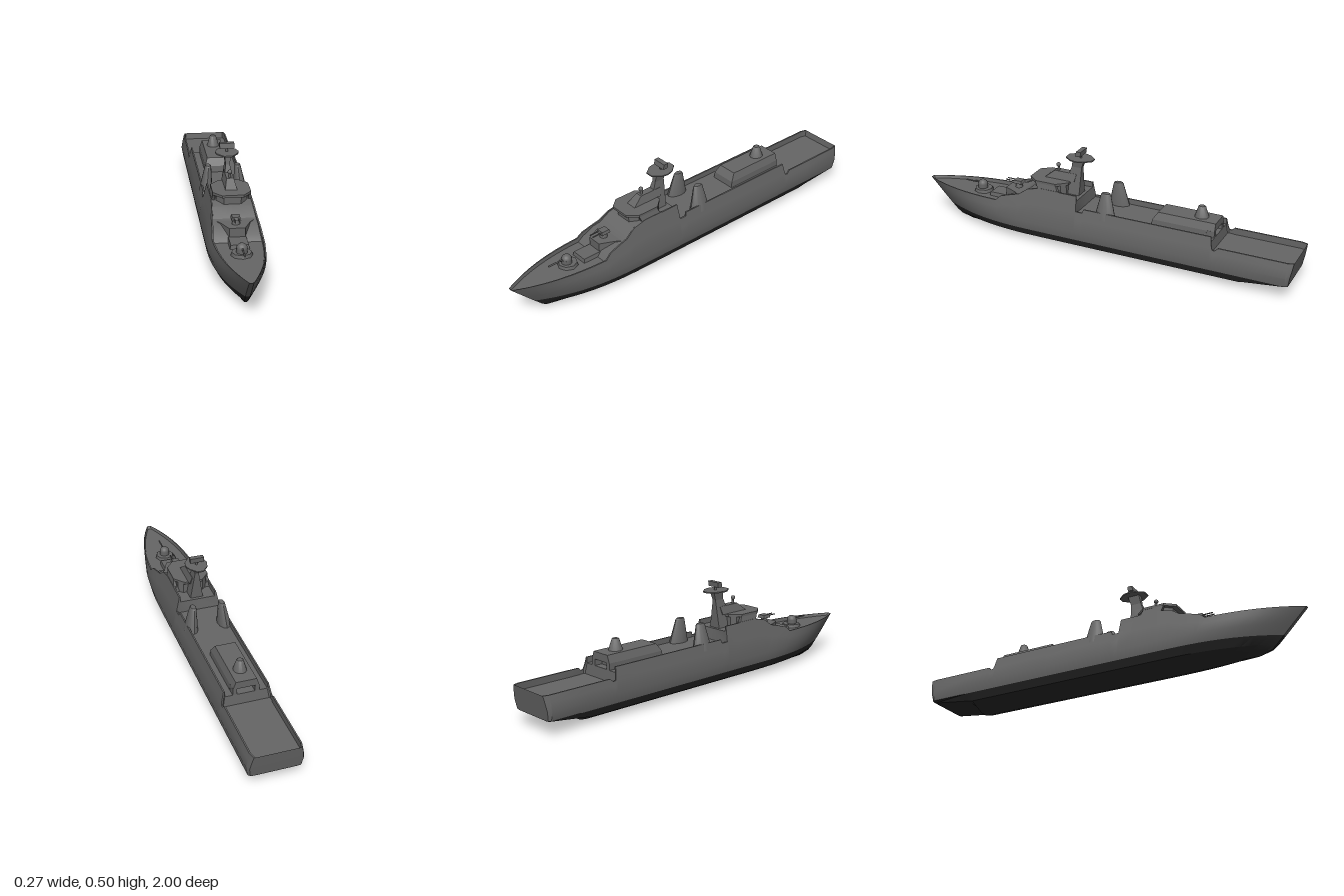
import * as THREE from 'three';
import { toCreasedNormals } from 'three/addons/utils/BufferGeometryUtils.js';

const grey = new THREE.MeshStandardMaterial({ color: 0x666666 });
const dark = new THREE.MeshStandardMaterial({ color: 0x2a2a2a });

// Piecewise linear lookup in rows of [key, a, b, ...]
function lookup(rows, k, col = 1) {
  if (k <= rows[0][0]) return rows[0][col];
  for (let i = 1; i < rows.length; i++) {
    const [p, q] = [rows[i - 1], rows[i]];
    if (k <= q[0]) return p[col] + (q[col] - p[col]) * (k - p[0]) / (q[0] - p[0]);
  }
  return rows[rows.length - 1][col];
}

// z, height of the side, height of the deck inside it
const sheer = [
  [-1, 0.193, 0.16], [-0.64, 0.193, 0.16], [-0.625, 0.178, 0.16], [-0.612, 0.18, 0.16],
  [-0.606, 0.2, 0.16], [-0.6, 0.24, 0.212], [0.058, 0.24, 0.212], [0.064, 0.222, 0.212],
  [0.098, 0.222, 0.212], [0.104, 0.297, 0.27], [0.195, 0.297, 0.27], [0.2, 0.299, 0.295],
  [0.3, 0.299, 0.297], [0.37, 0.285, 0.28], [0.42, 0.25, 0.24], [0.46, 0.24, 0.232],
  [0.52, 0.222, 0.2], [0.55, 0.197, 0.175], [1, 0.193, 0.18],
];
const stem = [[0, 0.76], [0.02, 0.83], [0.075, 0.885], [0.193, 1]];
const keel = [[-1, 0.073], [-0.77, 0.042], [-0.74, 0]];
const sideX = y => 0.133 - 0.225 * (y - 0.13);

// Places a section point of half width x on station z, tapering to the stem and transom
function hullPoint(x, y, z, end) {
  const tip = lookup(stem, y);
  let zz = z > 0.4 ? 0.4 + (z - 0.4) / 0.6 * (tip - 0.4) : z;
  const d = Math.min(1, (tip - zz) / 0.55);
  let w = 1 - 0.92 * Math.pow(1 - d, 2.6);
  if (z < -0.97) w *= 0.93;
  const yy = Math.max(y, lookup(keel, z));
  if (z <= -0.9999) zz += 0.17 * Math.max(0, 0.19 - yy);
  return [end ? 0 : x * w, yy, zz];
}

function lowerSection() {
  const half = [[0.02, 0], [0.07, 0.018], [0.107, 0.037], [0.125, 0.075]];
  return [...half.map(([x, y]) => [-x, y]).reverse(), [0, 0], ...half];
}

function upperSection(z) {
  const top = lookup(sheer, z), deck = lookup(sheer, z, 2), x = sideX(top);
  const mid = (0.13 + top) / 2;
  const half = [[0.125, 0.075], [0.133, 0.12], [sideX(mid), mid], [x, top], [x - 0.007, top], [x - 0.007, deck]];
  return [...half, [0, deck], ...half.map(([a, y]) => [-a, y]).reverse()];
}

function hullLoft(section) {
  const zs = [...sheer.map(r => r[0]), -0.97, -0.77, -0.74, -0.3, 0, 0.62, 0.68, 0.74, 0.8, 0.85, 0.9, 0.94, 0.97]
    .sort((a, b) => a - b);
  const rows = zs.map(z => section(z).map(([x, y]) => hullPoint(x, y, z)));
  // Flat ends close the transom and the stem
  rows.unshift(section(-1).map(([x, y]) => hullPoint(x, y, -1, true)));
  rows.push(section(1).map(([x, y]) => hullPoint(x, y, 1, true)));
  const n = rows[0].length, index = [];
  for (let i = 0; i < rows.length - 1; i++)
    for (let j = 0; j < n - 1; j++) {
      const a = i * n + j, b = a + 1, c = b + n, d = a + n;
      index.push(a, b, d, b, c, d);
    }
  const g = new THREE.BufferGeometry();
  g.setAttribute('position', new THREE.Float32BufferAttribute(rows.flat(2), 3));
  g.setIndex(index);
  return toCreasedNormals(g, 0.45);
}

// Box with different bottom and top: [half width, back z, front z, y, centre x]
function taper([w0, b0, f0, y0, c0 = 0], [w1, b1, f1, y1, c1 = 0]) {
  const g = new THREE.BoxGeometry(2, 1, 1), p = g.attributes.position;
  for (let i = 0; i < p.count; i++) {
    const up = p.getY(i) > 0, front = p.getZ(i) > 0, s = p.getX(i);
    p.setXYZ(i, (up ? c1 + s * w1 : c0 + s * w0), up ? y1 : y0, up ? (front ? f1 : b1) : (front ? f0 : b0));
  }
  g.computeVertexNormals();
  return g;
}

// Upright prism from one half of a plan outline of [x, z], mirrored
function prism(half, y0, y1) {
  const pts = [...half, ...half.map(([x, z]) => [-x, z]).reverse()];
  const g = new THREE.ExtrudeGeometry(new THREE.Shape(pts.map(([x, z]) => new THREE.Vector2(x, -z))),
    { depth: y1 - y0, bevelEnabled: false });
  return g.rotateX(-Math.PI / 2).translate(0, y0, 0);
}

// Rounded tapering housing that leans sideways from x0 to x1
function housing(rTop, rBase, y0, y1, z, x0, x1, squash) {
  const h = y1 - y0;
  const profile = [[0, h], [rTop * 0.8, h], [rTop, h * 0.95], [rBase, 0]].reverse();
  const g = new THREE.LatheGeometry(profile.map(p => new THREE.Vector2(...p)), 12);
  const p = g.attributes.position;
  for (let i = 0; i < p.count; i++)
    p.setX(i, p.getX(i) * squash + x0 + (x1 - x0) * p.getY(i) / h);
  g.translate(0, y0, z);
  return toCreasedNormals(g, 0.7);
}

const barrel = (r, z0, z1, y, x = 0) =>
  new THREE.CylinderGeometry(r, r, z1 - z0, 8).rotateX(Math.PI / 2).translate(x, y, (z0 + z1) / 2);

export function createModel() {
  const ship = new THREE.Group();
  const add = (name, geometry, material = grey) => {
    const m = new THREE.Mesh(geometry, material);
    m.name = name;
    ship.add(m);
  };

  // Hull with bulwarks and decks
  add('lowerHull', hullLoft(lowerSection), dark);
  add('upperHull', hullLoft(upperSection));

  // Hangar with a recessed door
  add('hangarBody', taper([0.065, -0.56, -0.28, 0.2], [0.063, -0.56, -0.285, 0.243]));
  add('hangarRoof', taper([0.063, -0.6, -0.285, 0.243], [0.05, -0.6, -0.31, 0.28]));
  for (const s of [-1, 1])
    add('hangarJamb', taper([0.012, -0.6, -0.56, 0.16, s * 0.053], [0.01, -0.6, -0.56, 0.244, s * 0.053]));
  add('hangarDome', housing(0.018, 0.037, 0.275, 0.335, -0.512, 0, 0, 0.9));

  // Exhaust housings at both sides
  for (const s of [-1, 1])
    add('funnel', housing(0.026, 0.056, 0.205, 0.335, -0.047, s * 0.085, s * 0.072, 0.6));

  // Bridge
  add('bridge', prism([[0.04, 0.355], [0.072, 0.32], [0.072, 0.2], [0.05, 0.18]], 0.265, 0.325));
  add('bridgeRoof', prism([[0.05, 0.378], [0.089, 0.33], [0.089, 0.22], [0.045, 0.17]], 0.323, 0.335));
  for (const s of [-1, 1])
    add('bridgeWing', taper([0.01, 0.2, 0.31, 0.28, s * 0.087], [0.005, 0.22, 0.33, 0.325, s * 0.083]));
  add('upperHouse', taper([0.028, 0.15, 0.31, 0.334], [0.017, 0.14, 0.26, 0.375]));

  // Director on top of the bridge
  add('directorPost', new THREE.CylinderGeometry(0.005, 0.007, 0.03, 8).translate(0, 0.387, 0.245));
  add('directorHead', new THREE.SphereGeometry(0.011, 12, 8).translate(0, 0.402, 0.247));

  // Mast leaning aft, platform and radar
  add('mastBase', taper([0.033, 0.12, 0.22, 0.265], [0.01, 0.115, 0.168, 0.41]));
  add('mastHead', taper([0.01, 0.115, 0.168, 0.41], [0.015, 0.1, 0.16, 0.455]));
  add('mastPlatform', prism([[0.02, 0.195], [0.05, 0.155], [0.056, 0.125], [0.045, 0.09], [0.015, 0.055]], 0.455, 0.461));
  add('radarPost', new THREE.CylinderGeometry(0.006, 0.006, 0.025, 8).translate(0, 0.47, 0.123));
  add('radar', taper([0.034, 0.11, 0.137, 0.478], [0.035, 0.108, 0.132, 0.503]));

  // Raised platform with the second gun
  add('gunPlatform', prism([[0.036, 0.53], [0.068, 0.46], [0.1, 0.42]], 0.18, 0.237));
  add('secondGunBase', new THREE.CylinderGeometry(0.012, 0.02, 0.03, 10).translate(0, 0.248, 0.475));
  add('secondGun', taper([0.022, 0.45, 0.5, 0.26], [0.018, 0.455, 0.495, 0.275]));
  for (const s of [-1, 1]) add('secondGunBarrel', barrel(0.003, 0.49, 0.545, 0.268, s * 0.01));

  // Main gun on the foredeck
  add('foredeckBox', taper([0.045, 0.5, 0.625, 0.17], [0.04, 0.5, 0.62, 0.195]));
  add('mainGunBase', new THREE.CylinderGeometry(0.045, 0.05, 0.018, 8).translate(0, 0.183, 0.685));
  add('mainGunRing', new THREE.CylinderGeometry(0.025, 0.025, 0.022, 16).translate(0, 0.201, 0.69));
  add('mainGunDome', new THREE.SphereGeometry(0.025, 16, 8, 0, Math.PI * 2, 0, Math.PI / 2).translate(0, 0.21, 0.69));
  add('mainGunBarrel', barrel(0.004, 0.7, 0.79, 0.215));
  return ship;
}
